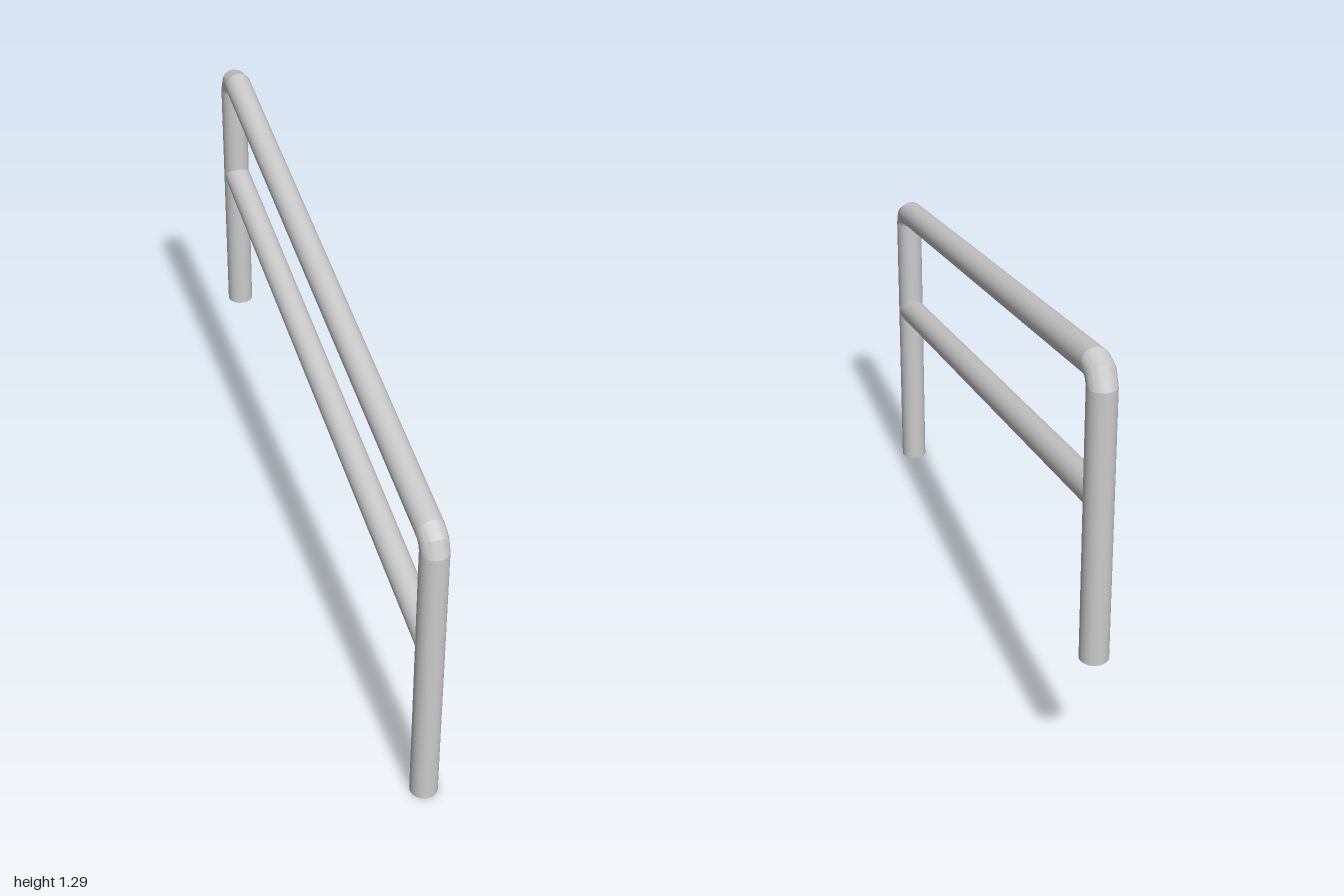
import * as THREE from 'three';
import { toCreasedNormals } from 'three/addons/utils/BufferGeometryUtils.js';

const RADIUS = 0.04;   // pipe radius
const BEND = 0.041;    // centreline radius of the corner bends
const POST_Z = 0.96;
const SIDES = 32;

export function createModel() {
  const group = new THREE.Group();
  group.name = 'handrail';
  const material = new THREE.MeshStandardMaterial({ color: 0xcccccc });

  const add = (name, geometry) => {
    const mesh = new THREE.Mesh(geometry, material);
    mesh.name = name;
    group.add(mesh);
    return mesh;
  };

  // Straight pipe between two points [y, z] in the x = 0 plane
  const pipe = (name, [y0, z0], [y1, z1]) => {
    const a = new THREE.Vector3(0, y0, z0);
    const b = new THREE.Vector3(0, y1, z1);
    const mesh = add(name, new THREE.CylinderGeometry(RADIUS, RADIUS, a.distanceTo(b), SIDES));
    mesh.position.copy(a).add(b).multiplyScalar(0.5);
    mesh.quaternion.setFromUnitVectors(new THREE.Vector3(0, 1, 0), b.sub(a).normalize());
  };

  // Two-segment corner bend; angles run from +z towards +y
  const bend = (name, y, z, start, end) => {
    const torus = new THREE.TorusGeometry(BEND, RADIUS, SIDES, 2, end - start);
    const mesh = add(name, toCreasedNormals(torus, 0.5));
    mesh.position.set(0, y, z);
    mesh.rotation.set(0, -Math.PI / 2, start);
  };

  const pivotZ = POST_Z - BEND;
  const frontTop = 0.885;
  const backTop = 1.215;
  const slope = Math.atan2(backTop - frontTop, 2 * pivotZ);
  const normal = Math.PI / 2 - slope;

  // Upright posts
  pipe('frontPost', [0, POST_Z], [frontTop, POST_Z]);
  pipe('backPost', [0.42, -POST_Z], [backTop, -POST_Z]);

  // Sloping top rail with its corner bends
  const dy = BEND * Math.sin(normal);
  const dz = BEND * Math.cos(normal);
  pipe('topRail', [frontTop + dy, pivotZ + dz], [backTop + dy, -pivotZ + dz]);
  bend('frontBend', frontTop, pivotZ, 0, normal);
  bend('backBend', backTop, -pivotZ, normal, Math.PI);

  // Parallel middle rail running between the post axes
  const rise = POST_Z * Math.tan(slope);
  pipe('middleRail', [0.735 - rise, POST_Z], [0.735 + rise, -POST_Z]);

  return group;
}
